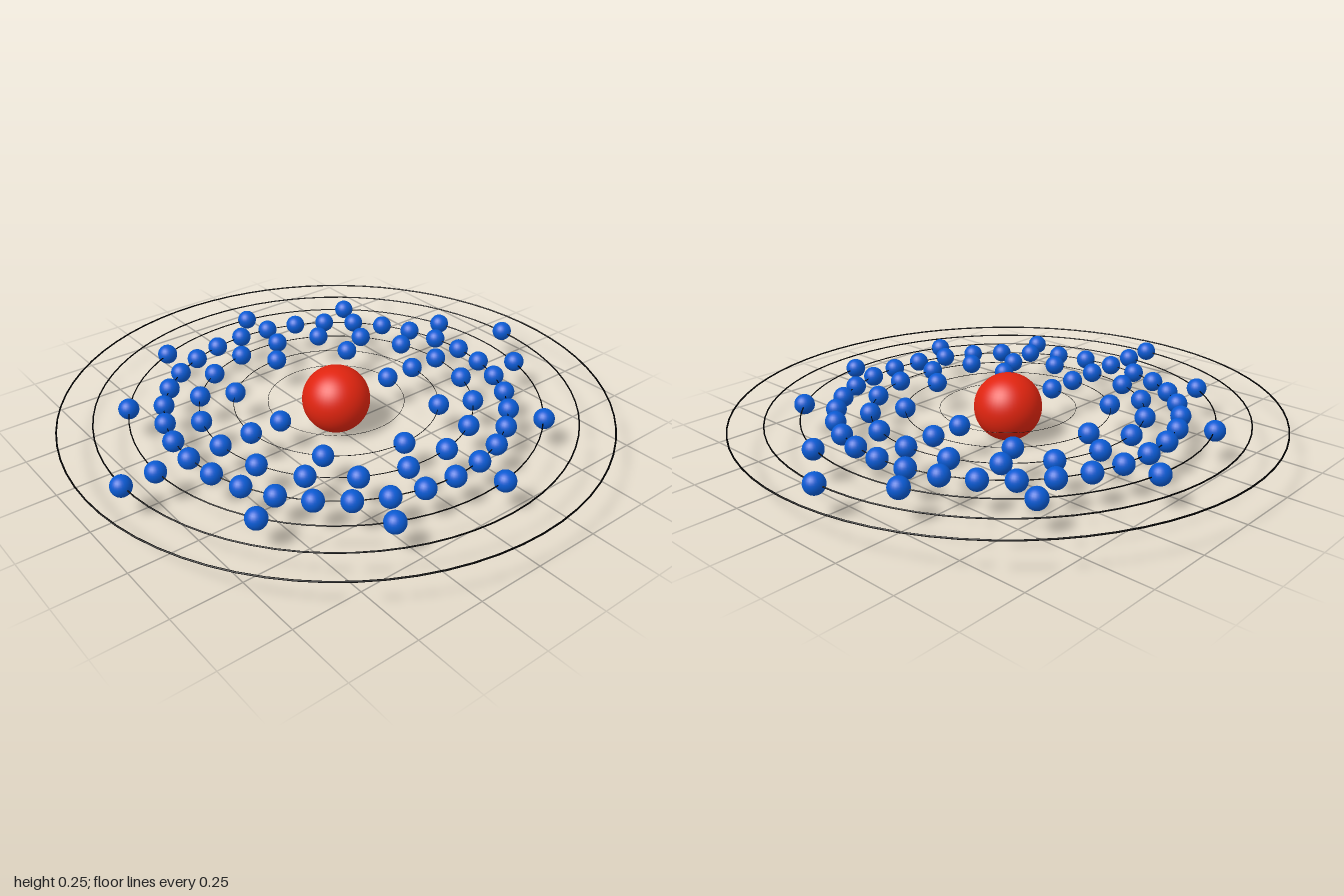
import * as THREE from 'three';

const CENTRE_Y = 0.125;
// electrons on each shell, from the innermost outwards
const SHELLS = [2, 8, 18, 32, 11, 2, 0];

export function createModel() {
  const model = new THREE.Group();
  model.name = 'atom';
  const red = new THREE.MeshStandardMaterial({ color: 0xe0240f });
  const blue = new THREE.MeshStandardMaterial({ color: 0x0a5ad2 });
  const black = new THREE.MeshStandardMaterial({ color: 0x000000 });

  const add = (parent, name, geometry, material) => {
    const mesh = new THREE.Mesh(geometry, material);
    mesh.name = name;
    parent.add(mesh);
    return mesh;
  };

  // nucleus
  add(model, 'nucleus', new THREE.SphereGeometry(0.125, 48, 32), red).position.y = CENTRE_Y;

  // one unit orbit, scaled per shell so the inner lines are finer
  const orbitGeometry = new THREE.TorusGeometry(0.997, 0.003, 8, 72).rotateX(Math.PI / 2);
  const electronGeometry = new THREE.SphereGeometry(0.0375, 24, 16);

  SHELLS.forEach((count, i) => {
    const radius = 0.25 + 0.125 * i;
    const shell = new THREE.Group();
    shell.name = `shell${i + 1}`;
    shell.position.y = CENTRE_Y;
    model.add(shell);

    add(shell, 'orbit', orbitGeometry, black).scale.setScalar(radius);

    // electrons evenly spaced, starting at the front
    for (let k = 0; k < count; k++) {
      const a = (k / count) * Math.PI * 2;
      add(shell, 'electron', electronGeometry, blue)
        .position.set(Math.sin(a) * radius, 0, Math.cos(a) * radius);
    }
  });

  return model;
}
